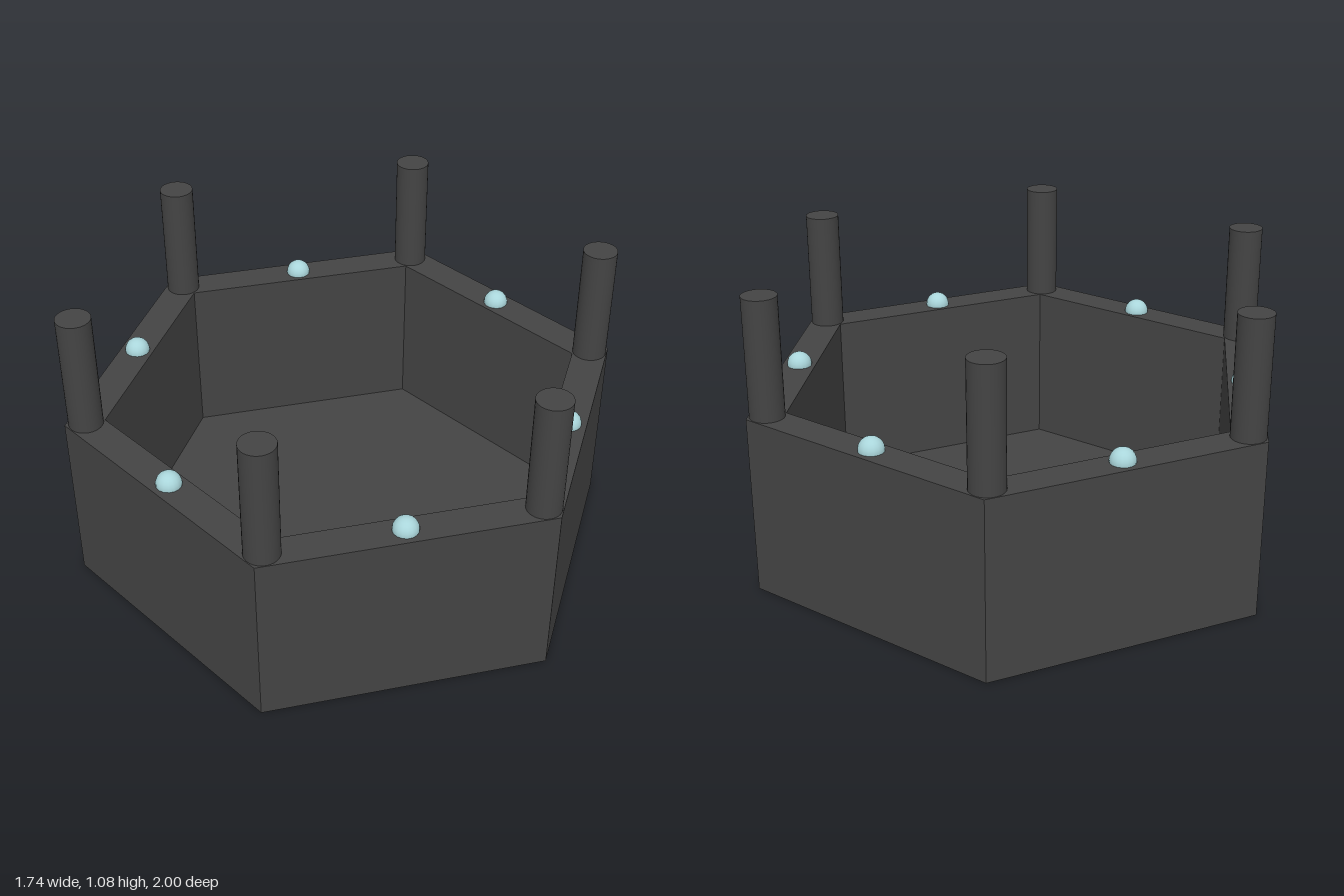
import * as THREE from 'three';

const charcoal = new THREE.MeshStandardMaterial({ color: 0x444444 });
charcoal.name = 'charcoal';
const paleBlue = new THREE.MeshStandardMaterial({ color: 0xaad6db });
paleBlue.name = 'pale blue';

const SIDES = 6, RIM = 0.65, FLOOR = 0.04, POST_TOP = 1.08;

export function createModel() {
  const model = new THREE.Group();
  model.name = 'hexagonalBasin';

  const add = (name, geometry, material, x = 0, y = 0, z = 0) => {
    const mesh = new THREE.Mesh(geometry, material);
    mesh.name = name;
    mesh.position.set(x, y, z);
    model.add(mesh);
  };

  // Hollow basin: underside, outer wall, rim, inner wall and floor, turned with six sides
  const profile = [[0, 0], [1, 0], [1, RIM], [0.86, RIM], [0.86, FLOOR], [0, FLOOR]]
    .map(([r, y]) => new THREE.Vector2(r, y));
  const basin = new THREE.LatheGeometry(profile, SIDES).toNonIndexed();
  basin.computeVertexNormals();
  add('basin', basin, charcoal);

  // A post on each rim corner and a bead at the middle of each rim side
  const height = POST_TOP - RIM;
  const post = new THREE.CylinderGeometry(0.061, 0.061, height, 32);
  const bead = new THREE.SphereGeometry(0.045, 16, 12);
  for (let i = 0; i < SIDES; i++) {
    const corner = (i / SIDES) * Math.PI * 2;
    const middle = corner + Math.PI / SIDES;
    add('post', post, charcoal, 0.926 * Math.sin(corner), RIM + height / 2, 0.926 * Math.cos(corner));
    add('bead', bead, paleBlue, 0.803 * Math.sin(middle), RIM + 0.005, 0.803 * Math.cos(middle));
  }

  model.rotation.y = 0.005;
  return model;
}
